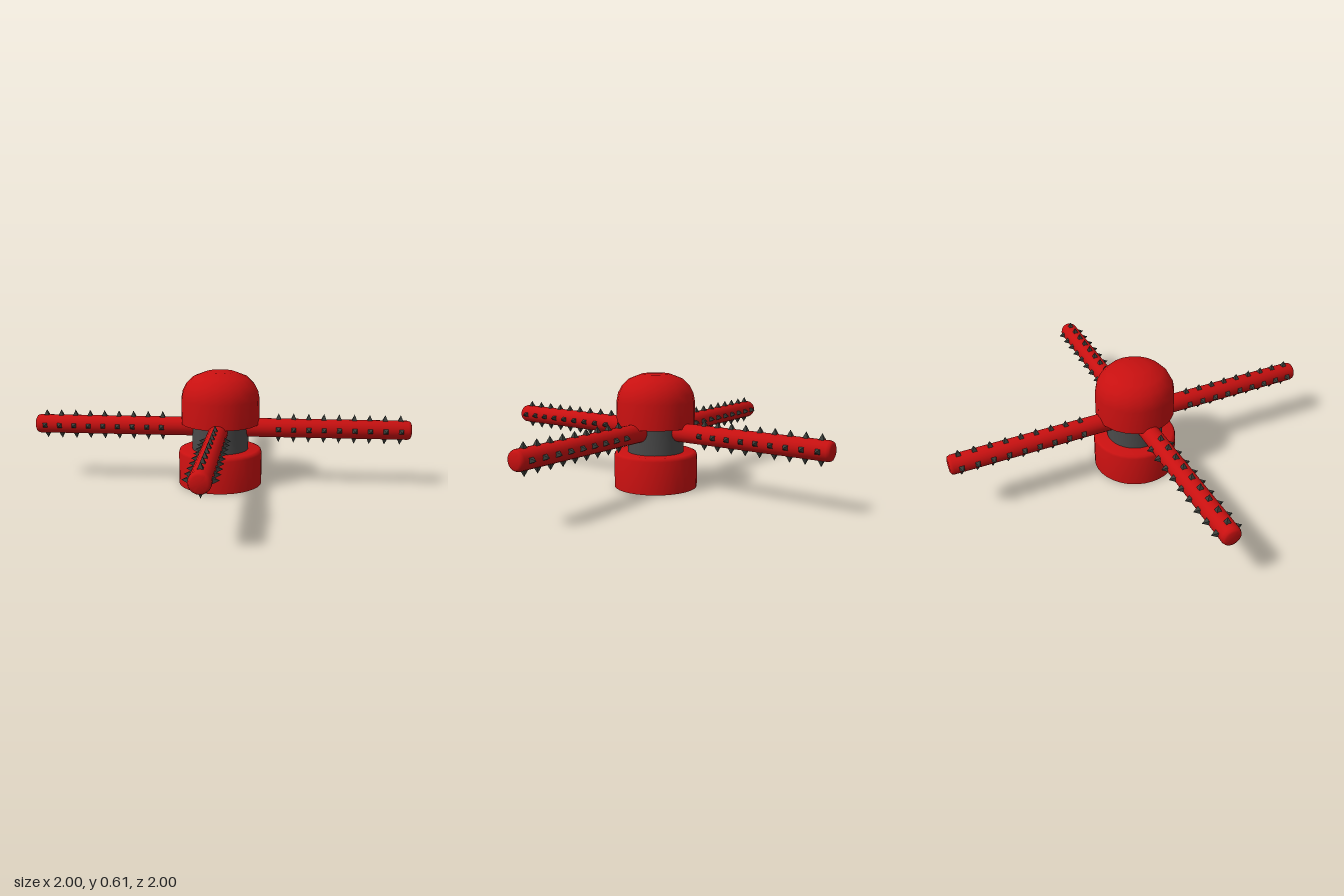
import * as THREE from 'three';
import { toCreasedNormals } from 'three/addons/utils/BufferGeometryUtils.js';

const red = new THREE.MeshStandardMaterial({ color: 0xc81010 });
const steel = new THREE.MeshStandardMaterial({ color: 0x4a4a4a });
const dark = new THREE.MeshStandardMaterial({ color: 0x3a3e3a, flatShading: true });

// Closed turned part from [radius, height] pairs, listed bottom to top
function turned(name, profile, sides, material, crease = 0.9) {
  const points = profile.map(([r, y]) => new THREE.Vector2(r, y));
  const mesh = new THREE.Mesh(toCreasedNormals(new THREE.LatheGeometry(points, sides), crease), material);
  mesh.name = name;
  return mesh;
}

export function createModel() {
  const model = new THREE.Group();
  model.name = 'spikedSpinner';

  // Hub: base drum, neck and domed cap
  model.add(turned('base', [[0, 0], [0.222, 0], [0.222, 0.172], [0.217, 0.185], [0.205, 0.19], [0, 0.19]], 32, red));
  model.add(turned('neck', [[0, 0.18], [0.15, 0.18], [0.15, 0.34], [0, 0.34]], 32, steel));
  model.add(turned('cap', [
    [0, 0.33], [0.208, 0.33], [0.208, 0.46], [0.2, 0.502], [0.18, 0.541],
    [0.145, 0.576], [0.077, 0.603], [0, 0.606],
  ], 20, red));

  // Four arms, each with four rows of nine pyramid spikes
  const armProfile = [[0, 0.1], [0.05, 0.1], [0.05, 0.982], [0.045, 0.995], [0.035, 1], [0, 1]];
  const spikeGeometry = new THREE.ConeGeometry(0.023, 0.04, 4).rotateY(Math.PI / 4);
  for (let a = 0; a < 4; a++) {
    const arm = new THREE.Group();
    arm.name = 'arm' + (a + 1);
    const rod = turned('rod', armProfile, 20, red);
    rod.rotation.z = -Math.PI / 2;
    arm.add(rod);
    for (let row = 0; row < 4; row++) {
      const spikes = new THREE.Group();
      spikes.name = 'spikeRow' + (row + 1);
      spikes.rotation.x = row * Math.PI / 2;
      for (let i = 0; i < 9; i++) {
        const spike = new THREE.Mesh(spikeGeometry, dark);
        spike.name = 'spike';
        spike.position.set(0.31 + i * 0.0793, 0.059, 0);
        spikes.add(spike);
      }
      arm.add(spikes);
    }
    arm.position.y = 0.306;
    arm.rotation.y = a * Math.PI / 2;
    model.add(arm);
  }
  return model;
}
